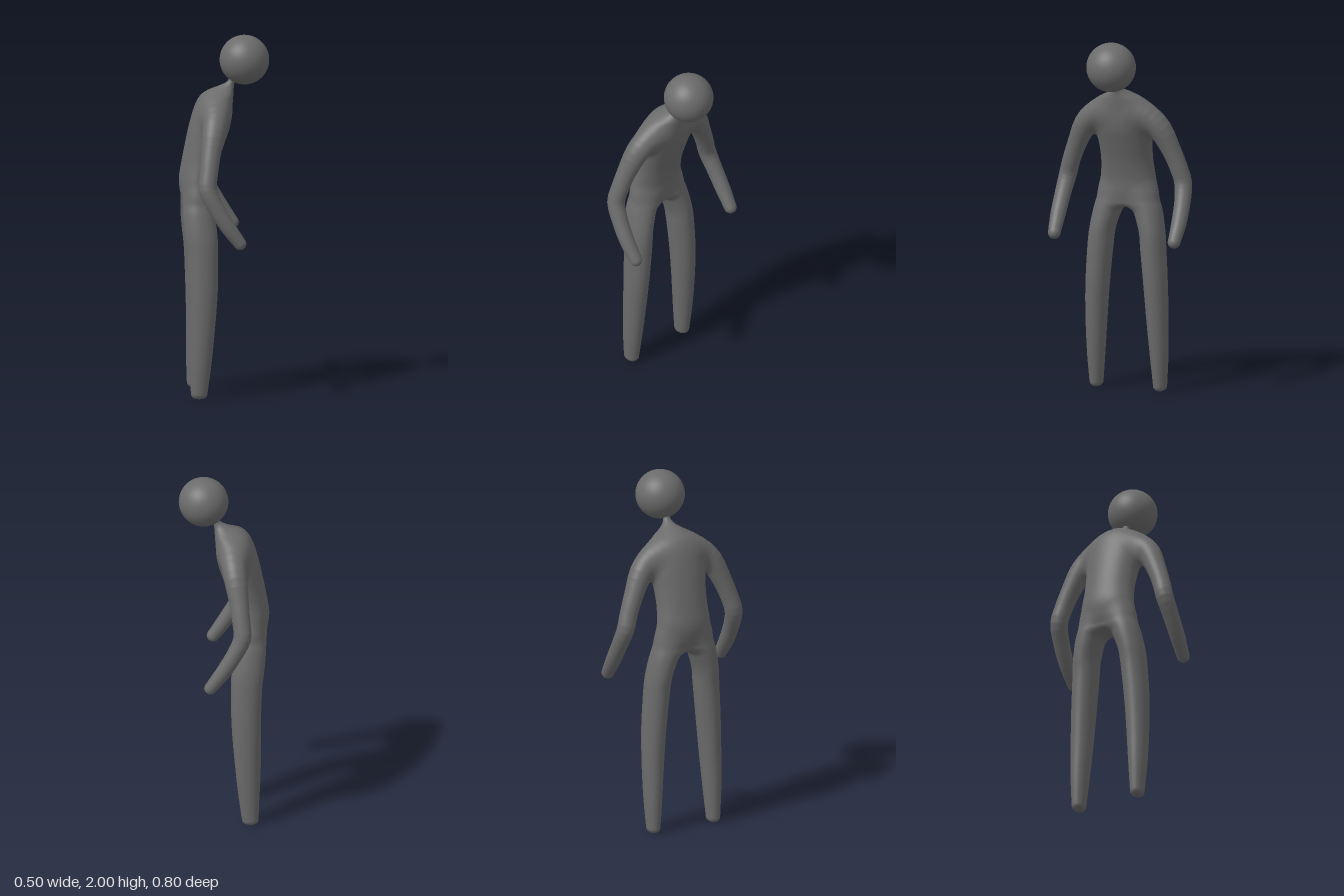
import * as THREE from 'three';

const material = new THREE.MeshStandardMaterial({ color: 0x6b6b6b });

// Sections [x, y, z, radiusX, radiusZ] smoothed into a finer list.
function refine(sections, steps) {
  const centres = new THREE.CatmullRomCurve3(
    sections.map(([x, y, z]) => new THREE.Vector3(x, y, z)), false, 'catmullrom');
  const radii = new THREE.CatmullRomCurve3(
    sections.map(([, , , a, b]) => new THREE.Vector3(a, b, 0)), false, 'catmullrom');
  const count = (sections.length - 1) * steps;
  return Array.from({ length: count + 1 }, (_, i) => {
    const c = centres.getPoint(i / count), r = radii.getPoint(i / count);
    return [c.x, c.y, c.z, r.x, r.y];
  });
}

// Neck, hunched back and hips
const torso = refine([
  [0.055, 1.79, 0, 0.022, 0.02],
  [0.04, 1.745, 0, 0.021, 0.02],
  [0.012, 1.718, 0, 0.043, 0.034],
  [-0.018, 1.695, 0, 0.07, 0.068],
  [-0.042, 1.66, 0, 0.092, 0.125],
  [-0.06, 1.6, 0, 0.105, 0.163],
  [-0.08, 1.5, 0, 0.114, 0.165],
  [-0.107, 1.4, 0, 0.109, 0.153],
  [-0.133, 1.3, 0, 0.102, 0.149],
  [-0.152, 1.2, 0, 0.098, 0.158],
  [-0.151, 1.12, 0, 0.09, 0.168],
  [-0.147, 1.065, 0, 0.077, 0.15],
], 5);

// Leg, tapering to a rounded stump foot
const leg = refine([
  [-0.152, 1.2, 0.075, 0.03, 0.04],
  [-0.151, 1.13, 0.085, 0.064, 0.068],
  [-0.149, 1.06, 0.1, 0.084, 0.084],
  [-0.145, 1.0, 0.121, 0.089, 0.079],
  [-0.135, 0.9, 0.146, 0.09, 0.071],
  [-0.128, 0.8, 0.156, 0.086, 0.07],
  [-0.125, 0.6, 0.171, 0.08, 0.066],
  [-0.13, 0.4, 0.18, 0.07, 0.06],
  [-0.14, 0.2, 0.186, 0.06, 0.05],
  [-0.149, 0.03, 0.188, 0.046, 0.038],
], 5);

// Arm: shoulder, bent elbow and blunt hand
const arm = refine([
  [-0.045, 1.58, 0.07, 0.065, 0.065],
  [-0.053, 1.565, 0.145, 0.069, 0.069],
  [-0.069, 1.495, 0.219, 0.065, 0.065],
  [-0.089, 1.38, 0.277, 0.054, 0.054],
  [-0.102, 1.28, 0.316, 0.05, 0.05],
  [-0.108, 1.19, 0.341, 0.049, 0.049],
  [-0.062, 1.09, 0.353, 0.045, 0.045],
  [0.002, 0.985, 0.357, 0.042, 0.042],
  [0.067, 0.894, 0.354, 0.035, 0.035],
], 3);

// Distance to a part made of level elliptical sections, with rounded ends
const END = 0.03;
function columnDistance(s, x, y, z) {
  const last = s.length - 1;
  const level = Math.min(s[0][1], Math.max(s[last][1], y));
  let i = 0;
  while (i < last - 1 && s[i + 1][1] > level) i++;
  const t = (s[i][1] - level) / (s[i][1] - s[i + 1][1]);
  const mix = (n) => s[i][n] + (s[i + 1][n] - s[i][n]) * t;
  const a = mix(3), b = mix(4), dx = x - mix(0), dz = z - mix(2);
  const k = Math.hypot(dx / a, dz / b);
  const side = k < 0.3 ? -0.7 * Math.min(a, b)
    : k * (k - 1) / Math.hypot(dx / (a * a), dz / (b * b));
  return Math.hypot(Math.max(side + END, 0), y - level) - END;
}

// Distance to a round tube of varying radius
function tubeDistance(s, x, y, z) {
  let best = Infinity;
  for (let i = 0; i < s.length - 1; i++) {
    const [ax, ay, az, ar] = s[i], [bx, by, bz, br] = s[i + 1];
    const ux = bx - ax, uy = by - ay, uz = bz - az;
    const along = ((x - ax) * ux + (y - ay) * uy + (z - az) * uz) / (ux * ux + uy * uy + uz * uz);
    const t = Math.min(1, Math.max(0, along));
    best = Math.min(best,
      Math.hypot(x - ax - ux * t, y - ay - uy * t, z - az - uz * t) - ar - (br - ar) * t);
  }
  return best;
}

function blend(a, b, k) {
  const h = Math.max(k - Math.abs(a - b), 0) / k;
  return Math.min(a, b) - h * h * k / 4;
}

// The whole body: limbs melted into the torso
function bodyField(x, y, z) {
  const legs = blend(columnDistance(leg, x, y, z), columnDistance(leg, x, y, -z), 0.03);
  const trunk = blend(columnDistance(torso, x, y, z), legs, 0.045);
  return blend(trunk, tubeDistance(arm, x, y, Math.abs(z)), 0.05);
}

// Skin over the zero level of a field: one vertex per crossed cell, one quad per crossed edge
function skin(field, min, size, step) {
  const n = size.map((v) => Math.ceil(v / step));
  const stride = [n[1] * n[2], n[2], 1];
  const values = new Float32Array(n[0] * n[1] * n[2]);
  const each = (from, to, visit) => {
    for (let i = from; i < n[0] - to; i++)
      for (let j = from; j < n[1] - to; j++)
        for (let k = from; k < n[2] - to; k++) visit([i, j, k], i * stride[0] + j * stride[1] + k);
  };
  each(0, 0, (c, id) => { values[id] = field(...c.map((v, d) => min[d] + v * step)); });

  const corners = Array.from({ length: 8 }, (_, i) => [i & 1, (i >> 1) & 1, i >> 2]);
  const vertexOf = new Int32Array(values.length);
  const positions = [], normals = [], index = [];
  const gradient = (p) => {
    const e = 0.004;
    return [0, 1, 2].map((d) => {
      const hi = [...p], lo = [...p];
      hi[d] += e;
      lo[d] -= e;
      return (field(...hi) - field(...lo)) / (2 * e);
    });
  };
  each(0, 1, (c, id) => {
    const v = corners.map((o) => values[id + o[0] * stride[0] + o[1] * stride[1] + o[2]]);
    const inside = v.filter((f) => f < 0).length;
    if (inside === 0 || inside === 8) return;
    const sum = [0, 0, 0];
    let hits = 0;
    for (let a = 0; a < 8; a++) for (let d = 0; d < 3; d++) {
      const b = a | (1 << d);
      if (a === b || (v[a] < 0) === (v[b] < 0)) continue;
      corners[a].forEach((o, m) => { sum[m] += o + (m === d ? v[a] / (v[a] - v[b]) : 0); });
      hits++;
    }
    const p = sum.map((s, d) => min[d] + (c[d] + s / hits) * step);
    const g = gradient(p), g2 = g[0] ** 2 + g[1] ** 2 + g[2] ** 2;
    const f = field(...p);
    vertexOf[id] = positions.length / 3;
    positions.push(...p.map((q, d) => q - g[d] * f / g2));
    normals.push(...g.map((q) => q / Math.sqrt(g2)));
  });
  each(1, 1, (c, id) => {
    for (let d = 0; d < 3; d++) {
      const here = values[id] < 0;
      if (here === values[id + stride[d]] < 0) continue;
      const u = stride[(d + 1) % 3], w = stride[(d + 2) % 3];
      const q = [id - u - w, id - w, id, id - u].map((m) => vertexOf[m]);
      if (!here) q.reverse();
      index.push(q[0], q[1], q[2], q[0], q[2], q[3]);
    }
  });
  const geometry = new THREE.BufferGeometry();
  geometry.setAttribute('position', new THREE.Float32BufferAttribute(positions, 3));
  geometry.setAttribute('normal', new THREE.Float32BufferAttribute(normals, 3));
  geometry.setIndex(index);
  return geometry;
}

export function createModel() {
  const model = new THREE.Group();
  model.name = 'stoopingFigure';

  // Head
  const head = new THREE.Mesh(new THREE.SphereGeometry(0.137, 48, 32), material);
  head.name = 'head';
  head.position.set(0.112, 1.863, 0);
  model.add(head);

  // Neck, torso, arms and legs in one smooth skin
  const body = new THREE.Mesh(skin(bodyField, [-0.3, -0.05, -0.445], [0.46, 1.92, 0.89], 0.01), material);
  body.name = 'body';
  model.add(body);
  return model;
}
